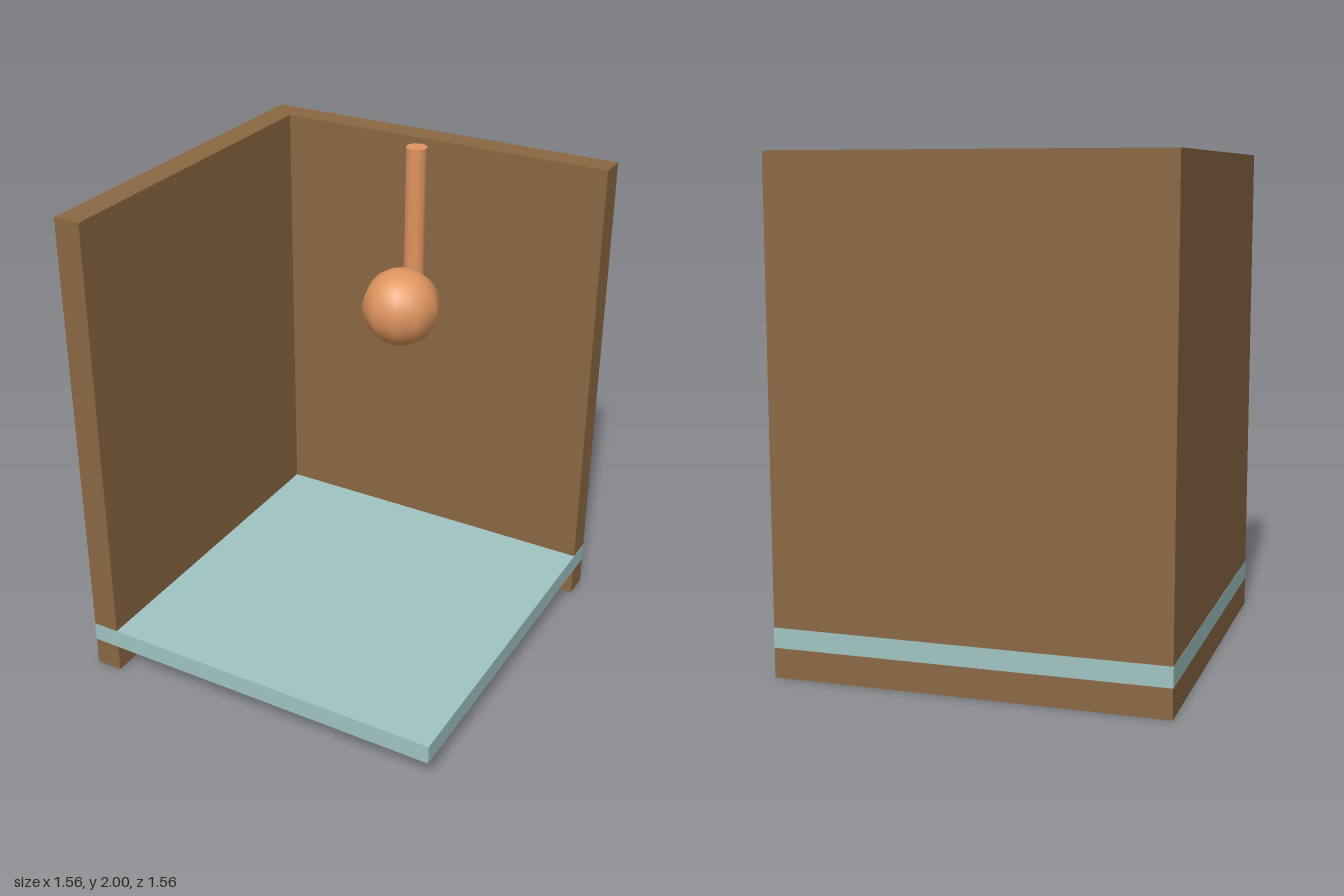
import * as THREE from 'three';

const wood = new THREE.MeshStandardMaterial({ color: 0x8b6743 });
const glass = new THREE.MeshStandardMaterial({ color: 0x9fc4c2 });
const copper = new THREE.MeshStandardMaterial({ color: 0xe0965f });

export function createModel() {
  const model = new THREE.Group();
  const add = (name, geometry, material, x, y, z) => {
    const mesh = new THREE.Mesh(geometry, material);
    mesh.name = name;
    mesh.position.set(x, y, z);
    model.add(mesh);
  };

  const size = 1.556, wall = 0.111, height = 2;
  const offset = (size - wall) / 2;

  // Two upright walls meeting in the back corner
  add('backWall', new THREE.BoxGeometry(size, height, wall), wood, 0, height / 2, -offset);
  add('sideWall', new THREE.BoxGeometry(wall, height, size - wall), wood, -offset, height / 2, wall / 2);

  // Floor slab, a hair proud of the walls so its edge shows as a band
  add('floor', new THREE.BoxGeometry(size + 0.002, 0.08, size + 0.002), glass, 0, 0.158, 0);

  // Hanging rod with a ball at its lower end
  const rodBottom = 1.335;
  add('rod', new THREE.CylinderGeometry(0.045, 0.045, height - rodBottom, 10), copper,
    0, (height + rodBottom) / 2, -0.558);
  add('ball', new THREE.SphereGeometry(0.166, 10, 20), copper, 0, 1.335, -0.446);

  return model;
}
